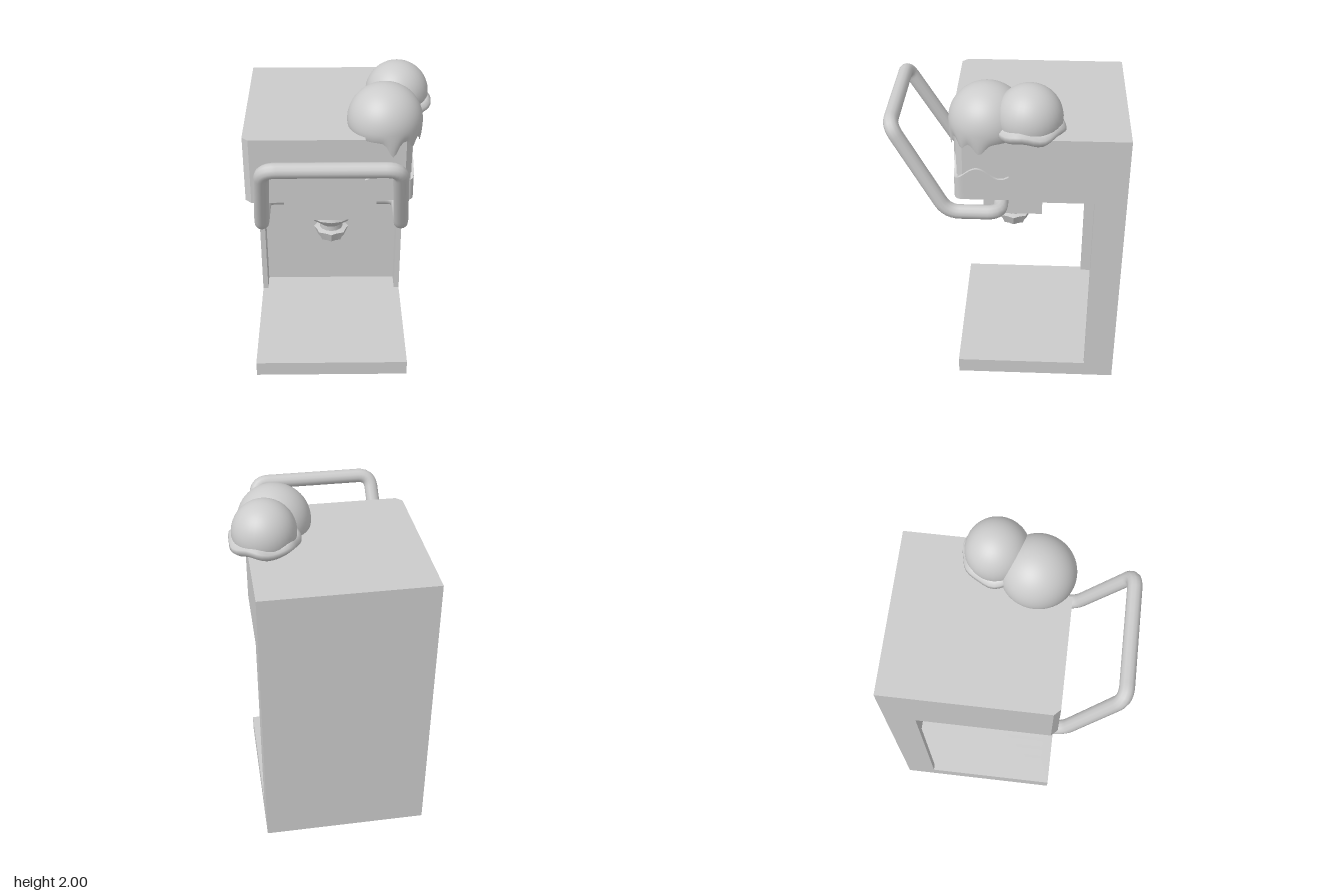
import * as THREE from 'three';
import { toCreasedNormals } from 'three/addons/utils/BufferGeometryUtils.js';
import { ParametricGeometry } from 'three/addons/geometries/ParametricGeometry.js';

const CX = -0.05; // centre line of the machine

export function createModel() {
  const model = new THREE.Group();
  const grey = new THREE.MeshStandardMaterial({ color: 0xcccccc });
  const thin = new THREE.MeshStandardMaterial({ color: 0xcccccc, side: THREE.DoubleSide });
  const v3 = (p) => new THREE.Vector3(...p);

  function add(name, geometry, material = grey) {
    const mesh = new THREE.Mesh(geometry, material);
    mesh.name = name;
    model.add(mesh);
    return mesh;
  }

  function box(name, x0, x1, y0, y1, z0, z1) {
    add(name, new THREE.BoxGeometry(x1 - x0, y1 - y0, z1 - z0))
      .position.set((x0 + x1) / 2, (y0 + y1) / 2, (z0 + z1) / 2);
  }

  // Plan outline given as [x, z] pairs
  const outline = (points, Type = THREE.Shape) =>
    new Type(points.map(([x, z]) => new THREE.Vector2(x, -z)));

  // Vertical prism from a plan outline
  function prism(name, shape, y0, y1) {
    const g = new THREE.ExtrudeGeometry(shape, { depth: y1 - y0, bevelEnabled: false });
    add(name, g.rotateX(-Math.PI / 2).translate(0, y0, 0));
  }

  // Straight runs joined by rounded corners
  function roundedPath(points, radius) {
    const pts = points.map(v3);
    const path = new THREE.CurvePath();
    let start = pts[0];
    for (let i = 1; i < pts.length - 1; i++) {
      const toward = (q) => pts[i].clone().add(q.clone().sub(pts[i]).setLength(radius));
      const a = toward(pts[i - 1]), b = toward(pts[i + 1]);
      path.add(new THREE.LineCurve3(start, a));
      path.add(new THREE.QuadraticBezierCurve3(a, pts[i], b));
      start = b;
    }
    path.add(new THREE.LineCurve3(start, pts[pts.length - 1]));
    return path;
  }

  // Base and slotted drip tray
  box('base', -0.54, 0.435, 0, 0.075, -0.68, 0.295);
  const tray = outline([[-0.54, -0.68], [0.435, -0.68], [0.435, 0.295], [-0.54, 0.295]]);
  for (let i = -5; i <= 5; i++) {
    const x = CX + i * 0.063, w = 0.011;
    tray.holes.push(outline([[x - w, -0.53], [x + w, -0.53], [x + w, 0.23], [x - w, 0.23]], THREE.Path));
  }
  prism('dripTray', tray, 0.075, 0.1);

  // Rear column with a shallow recess between two side ribs
  prism('column', outline([[-0.54, -0.68], [0.435, -0.68], [0.435, -0.5], [0.4, -0.5],
    [0.4, -0.63], [-0.505, -0.63], [-0.505, -0.5], [-0.54, -0.5]]), 0.1, 1.33);

  // Overhanging head with one front corner cut away
  prism('head', outline([[-0.54, -0.68], [0.435, -0.68], [0.435, -0.02], [0.14, -0.02],
    [0.14, 0.305], [-0.505, 0.305], [-0.54, 0.27]]), 1.33, 1.73);

  // Inset column in the cut corner
  prism('cornerColumn', outline([[0.14, -0.02], [0.405, -0.02], [0.405, 0.235],
    [0.37, 0.27], [0.14, 0.27]]), 1.33, 1.72);

  // Wavy band wrapped round the foot of the inset column
  const wrap = roundedPath([[0.14, 0, 0.285], [0.42, 0, 0.285], [0.42, 0, -0.02]], 0.05);
  const band = new ParametricGeometry((u, v, out) => {
    const row = Math.round(v * 3); // underside, outer foot, outer rim, inner rim
    out.copy(wrap.getPointAt(u));
    if (row === 0 || row === 3) {
      out.x = Math.min(out.x, 0.4);
      out.z = Math.min(out.z, 0.265);
    }
    out.y = row < 2 ? 1.33 : 1.495 + 0.033 * Math.sin(u * 13.5 - 1.4);
  }, 48, 3);
  add('wavyBand', toCreasedNormals(band, 0.7), thin);

  // Dispensing block and nozzle
  box('dispenserBlock', -0.33, 0.22, 1.1, 1.33, -0.21, 0.135);
  const lathe = (profile, sides) =>
    new THREE.LatheGeometry(profile.map(([r, y]) => new THREE.Vector2(r, y)), sides);
  add('nozzleCollar', toCreasedNormals(lathe([[0.06, 0.94], [0.07, 0.95], [0.072, 0.985],
    [0.088, 1.005], [0.13, 1.035], [0.147, 1.06], [0.135, 1.1]], 14), 0.6), thin)
    .position.set(CX, 0, -0.035);

  // Star-shaped nozzle tip with alternating ridges
  const tip = lathe([[0.045, 0.93], [0.055, 0.88], [0.08, 0.88], [0.107, 0.945], [0.06, 0.955]], 16);
  const tp = tip.attributes.position;
  for (let i = 0; i < tp.count; i++) {
    const side = Math.floor(i / 5);
    const k = side % 2 ? 0.88 : 1;
    tp.setXYZ(i, tp.getX(i) * k, tp.getY(i), tp.getZ(i) * k);
  }
  add('nozzleTip', toCreasedNormals(tip, 0.3), thin).position.set(CX, 0, -0.035);

  // Bent lever handle, mirrored about the centre line
  const half = [[0.2, 1.195, 0.03], [0.4, 1.195, 0.03], [0.4, 1.195, 0.335], [0.36, 1.732, 0.637]];
  const side = (s) => half.map(([x, y, z]) => [CX + s * x, y, z]);
  const lever = roundedPath([...side(-1), ...side(1).reverse()], 0.075);
  add('leverHandle', new THREE.TubeGeometry(lever, 140, 0.042, 12));

  // Front scoop: a dome whose rim runs down into drips
  const drips = [[0.2, 0.09, 0.17], [0.85, 0.055, 0.16], [1.4, 0.065, 0.2]];
  const dome = new ParametricGeometry((u, v, out) => {
    const a = -u * Math.PI * 2;
    const t = Math.min(v / 0.7, 1) * Math.PI / 2;
    const fall = Math.max((v - 0.7) / 0.3, 0);
    let length = 0.055;
    for (const [angle, size, width] of drips) {
      const d = Math.atan2(Math.sin(a - angle), Math.cos(a - angle));
      length += size * Math.exp(-((d / width) ** 2));
    }
    const r = 0.213 * Math.sin(t) - 0.012 * fall * fall;
    out.set(0.255 + r * Math.sin(a), 1.76 + 0.207 * Math.cos(t) - length * fall,
      0.103 + r * Math.cos(a));
  }, 64, 24);
  add('frontScoop', dome, thin);

  // Underside closing the dome just above its rim
  const under = add('frontScoopUnderside', new THREE.CircleGeometry(0.205, 32), thin);
  under.rotation.x = Math.PI / 2;
  under.position.set(0.255, 1.735, 0.103);

  // Rear scoop: a half ball on a ruffled skirt
  const ball = add('rearScoop', new THREE.SphereGeometry(0.182, 32, 16, 0, Math.PI * 2, 0, 1.85));
  ball.position.set(0.333, 1.818, -0.13);
  const skirt = lathe([[0, 1.72], [0.12, 1.72], [0.175, 1.735], [0.202, 1.762],
    [0.2, 1.785], [0.18, 1.803], [0.15, 1.805]], 40);
  const sp = skirt.attributes.position;
  for (let i = 0; i < sp.count; i++) {
    const x = sp.getX(i), z = sp.getZ(i), a = Math.atan2(x, z);
    const k = 1 + 0.025 * Math.sin(a * 7);
    sp.setXYZ(i, x * k, sp.getY(i) + Math.hypot(x, z) * 0.05 * Math.sin(a * 5 + 1), z * k);
  }
  skirt.computeVertexNormals();
  add('rearScoopSkirt', skirt, thin).position.set(0.333, 0, -0.125);

  return model;
}
